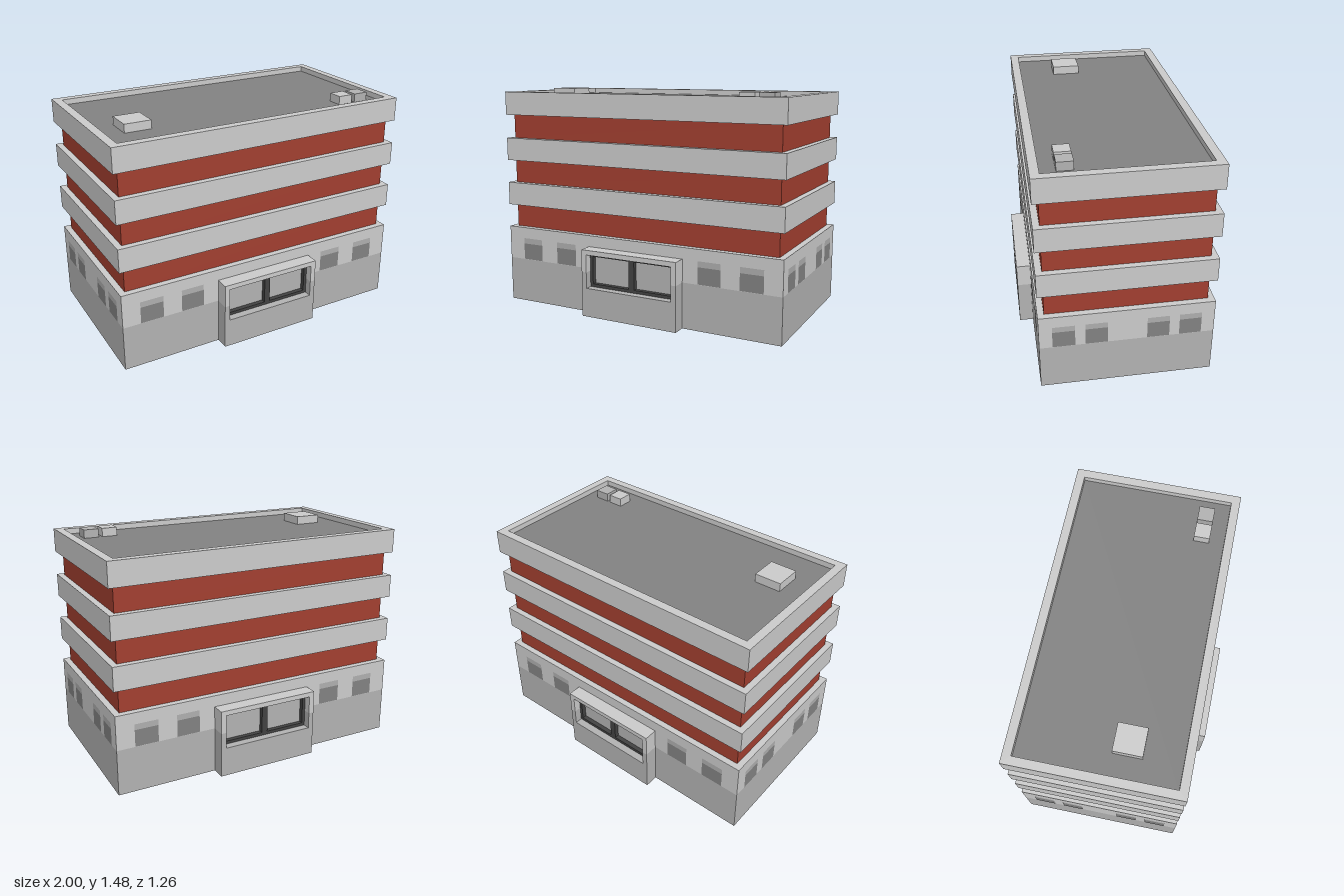
import * as THREE from 'three';

const mat = (color) => new THREE.MeshStandardMaterial({ color, flatShading: true });

export function createModel() {
  const light = mat(0xcccccc), mid = mat(0xb2b2b2), shade = mat(0xaeaeae);
  const pane = mat(0x828282), dark = mat(0x424242), brick = mat(0xa23f30);
  const W = 2, D = 1.08; // outer footprint

  const model = new THREE.Group();
  model.name = 'officeBuilding';

  function add(parent, name, geometry, material) {
    const mesh = new THREE.Mesh(geometry, material);
    mesh.name = name;
    parent.add(mesh);
    return mesh;
  }
  // box given by its min and max on each axis
  function box(parent, name, material, [x0, x1], [y0, y1], [z0, z1]) {
    const g = new THREE.BoxGeometry(x1 - x0, y1 - y0, z1 - z0);
    g.translate((x0 + x1) / 2, (y0 + y1) / 2, (z0 + z1) / 2);
    return add(parent, name, g, material);
  }
  const centred = (size) => [-size / 2, size / 2];
  const rect = (Type, w, h) => new Type([
    [-w / 2, -h / 2], [w / 2, -h / 2], [w / 2, h / 2], [-w / 2, h / 2],
  ].map(([x, y]) => new THREE.Vector2(x, y)));

  // ground floor: darker plinth with a lighter wall above
  box(model, 'plinth', mid, centred(W), [0, 0.3], centred(D));
  box(model, 'groundFloorWall', light, centred(W), [0.3, 0.525], centred(D));

  // upper floors: recessed brick bands between projecting slabs
  for (const [y0, y1] of [[0.525, 0.68], [0.835, 0.99], [1.142, 1.3]])
    box(model, 'brickBand', brick, centred(1.92), [y0, y1], centred(1.0));
  for (const [y0, y1] of [[0.68, 0.835], [0.99, 1.142]])
    box(model, 'floorSlab', light, centred(W), [y0, y1], centred(D));

  // roof: parapet ring around a sunken deck
  const ring = rect(THREE.Shape, W, D);
  ring.holes.push(rect(THREE.Path, 1.89, 0.97));
  const ringGeo = new THREE.ExtrudeGeometry(ring, { depth: 0.155, bevelEnabled: false });
  ringGeo.rotateX(-Math.PI / 2).translate(0, 1.3, 0);
  add(model, 'parapet', ringGeo, light);
  box(model, 'roofDeck', pane, centred(1.89), [1.3, 1.42], centred(0.97));

  // rooftop units
  box(model, 'roofHatch', light, [-0.807, -0.633], [1.42, 1.475], [0.07, 0.25]);
  box(model, 'roofVent', light, [0.645, 0.745], [1.42, 1.475], [0.29, 0.39]);
  box(model, 'roofVent', mid, [0.77, 0.868], [1.42, 1.475], [0.29, 0.39]);

  // flush windows, one row per wall, with a shaded strip along the top
  function windowRow(name, centres, width, distance, angle) {
    const row = new THREE.Group();
    row.name = name;
    for (const x of centres) {
      const glass = new THREE.PlaneGeometry(width, 0.11).translate(x, 0.357, distance + 0.0015);
      const head = new THREE.PlaneGeometry(width, 0.038).translate(x, 0.431, distance + 0.0015);
      add(row, 'windowPane', glass, pane);
      add(row, 'windowHead', head, shade);
    }
    row.rotation.y = angle;
    model.add(row);
  }

  // entrance block: two-tone surround with a deep framed opening
  function entrance(name, angle) {
    const g = new THREE.Group();
    g.name = name;
    const back = 0.54, front = 0.63, hw = 0.345, ow = 0.31, y0 = 0.193, y1 = 0.418, split = 0.3;
    const surround = (part, material, outer, inner) => {
      const pts = [
        [-hw, outer], [hw, outer], [hw, split], [ow, split],
        [ow, inner], [-ow, inner], [-ow, split], [-hw, split],
      ].map(([x, y]) => new THREE.Vector2(x, y));
      const geo = new THREE.ExtrudeGeometry(new THREE.Shape(pts), { depth: front - back, bevelEnabled: false });
      add(g, part, geo.translate(0, 0, back), material);
    };
    surround('entranceBase', mid, 0, y0);
    surround('entranceHood', light, 0.45, y1);
    box(g, 'entranceGlass', mid, [-ow, ow], [y0, y1], [back, 0.55]);
    // dark frame and centre mullion
    const z = [0.55, 0.58], t = 0.02;
    box(g, 'frameSill', dark, [-ow, ow], [y0, y0 + t], z);
    box(g, 'frameHead', dark, [-ow, ow], [y1 - t, y1], z);
    for (const x of [-ow, ow - t]) box(g, 'frameJamb', dark, [x, x + t], [y0 + t, y1 - t], z);
    box(g, 'frameMullion', dark, [-t, t], [y0 + t, y1 - t], z);
    g.rotation.y = angle;
    model.add(g);
  }

  const longRow = [-0.805, -0.527, 0.527, 0.805];
  const shortRow = [-0.39, -0.19, 0.19, 0.39];
  [['front', 0], ['back', Math.PI]].forEach(([side, angle]) => {
    windowRow(side + 'Windows', longRow, 0.153, D / 2, angle);
    entrance(side + 'Entrance', angle);
  });
  windowRow('leftWindows', shortRow, 0.138, W / 2, Math.PI / 2);
  windowRow('rightWindows', shortRow, 0.138, W / 2, -Math.PI / 2);

  return model;
}
